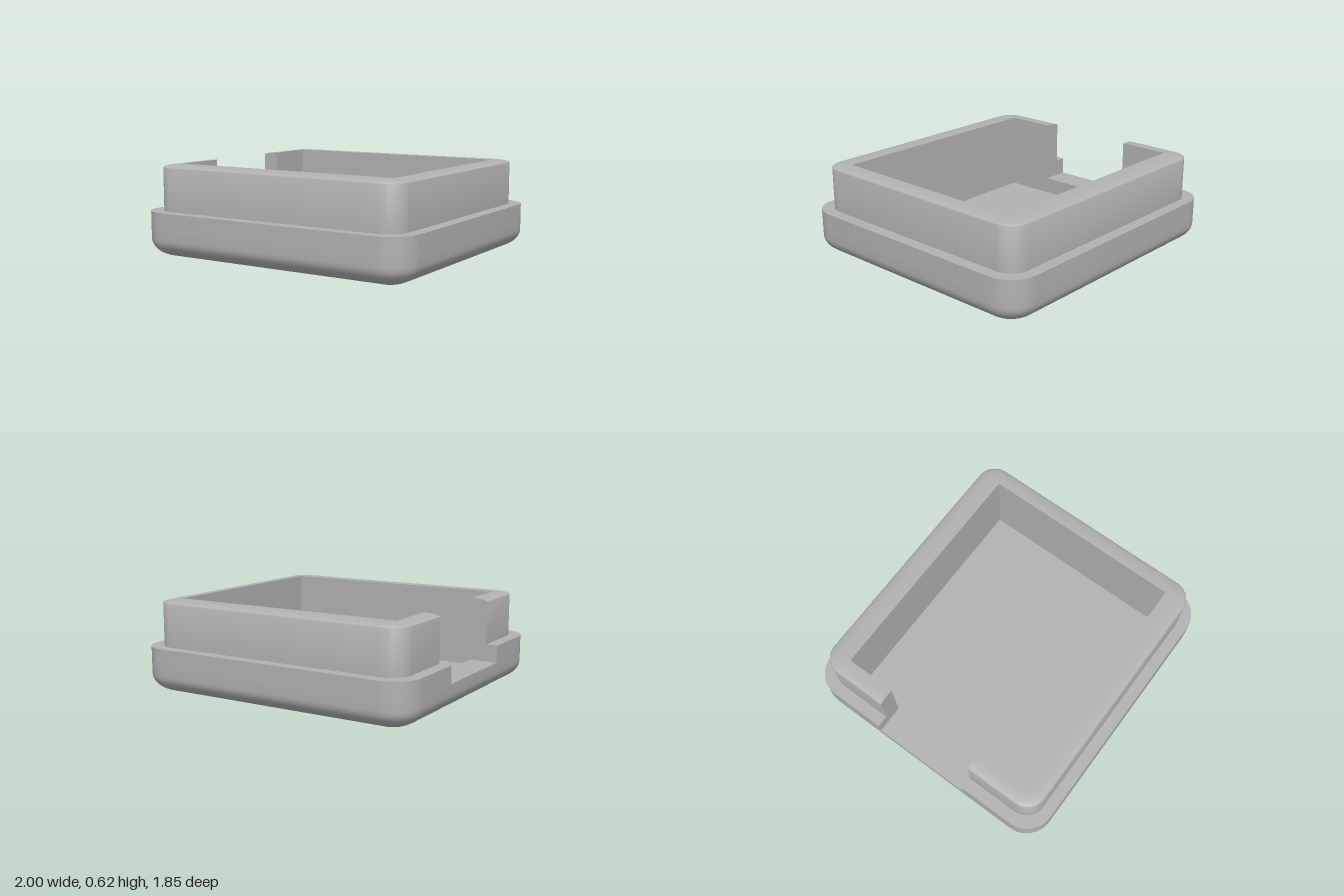
import * as THREE from 'three';
import { toCreasedNormals } from 'three/addons/utils/BufferGeometryUtils.js';

const NOTCH = 0.35;        // half width of the cable notch on the -x side
const NOTCH_Y = 0.192;     // notch floor height
const FLOOR_Y = 0.077;     // inside floor height
const OUTER = [1, 0.923, 0.19], STEP = [0.92, 0.846, 0.13], INNER = [0.808, 0.692, 0];

// Rounded rectangle at height y, running from one notch edge round to the other
function loop([hx, hz, r], y, inset = 0, seg = 10) {
  hx -= inset; hz -= inset; r = Math.max(r - inset, 0);
  const pts = [new THREE.Vector3(-hx, y, NOTCH)];
  [[-1, 1], [1, 1], [1, -1], [-1, -1]].forEach(([sx, sz], corner) => {
    for (let i = 0; i <= seg; i++) {
      const a = Math.PI - (corner + i / seg) * Math.PI / 2;
      pts.push(new THREE.Vector3(sx * (hx - r) + r * Math.cos(a), y, sz * (hz - r) + r * Math.sin(a)));
    }
  });
  pts.push(new THREE.Vector3(-hx, y, -NOTCH));
  return pts;
}

// Skin between successive loops, optionally closed across the notch and capped
function loft(loops, { closed = false, capStart = false, capEnd = false }) {
  const out = [];
  const tri = (a, b, c) => {
    const area = b.clone().sub(a).cross(c.clone().sub(a)).length();
    if (area > 1e-9) for (const p of [a, b, c]) out.push(p.x, p.y, p.z);
  };
  for (let j = 0; j + 1 < loops.length; j++) {
    const lo = loops[j], hi = loops[j + 1], n = lo.length;
    for (let k = 0; k < (closed ? n : n - 1); k++) {
      const m = (k + 1) % n;
      tri(lo[k], lo[m], hi[m]);
      tri(lo[k], hi[m], hi[k]);
    }
  }
  const first = loops[0], last = loops[loops.length - 1];
  for (let k = 1; k + 1 < first.length; k++) {
    if (capStart) tri(first[0], first[k + 1], first[k]);
    if (capEnd) tri(last[0], last[k], last[k + 1]);
  }
  const g = new THREE.BufferGeometry();
  g.setAttribute('position', new THREE.Float32BufferAttribute(out, 3));
  return toCreasedNormals(g, Math.PI / 6);
}

export function createModel() {
  const group = new THREE.Group();
  const grey = new THREE.MeshStandardMaterial({ color: 0xb2b2b2 });
  grey.name = 'grey plastic';
  const add = (name, geometry) => {
    const mesh = new THREE.Mesh(geometry, grey);
    mesh.name = name;
    group.add(mesh);
    return mesh;
  };

  // Base underside with an elliptical rounded edge
  const base = [];
  for (let i = 0; i <= 10; i++) {
    const a = i / 10 * Math.PI / 2;
    base.push(loop(OUTER, 0.125 * (1 - Math.cos(a)), 0.19 * (1 - Math.sin(a))));
  }
  base.push(loop(OUTER, NOTCH_Y));
  add('base', loft(base, { closed: true, capStart: true }));

  // Wall: base side, ledge, stepped-in wall, softened rim and inner face
  const wall = [loop(OUTER, NOTCH_Y), loop(OUTER, 0.308), loop(STEP, 0.308)];
  for (let i = 0; i <= 10; i++) {
    const a = i / 10 * Math.PI / 2;
    wall.push(loop(STEP, 0.595 + 0.02 * Math.sin(a), 0.11 * (1 - Math.cos(a))));
  }
  wall.push(loop(INNER, 0.615), loop(INNER, NOTCH_Y));
  add('wall', loft(wall, {}));

  // Flat wall ends on both sides of the notch
  for (const side of [1, -1]) {
    const section = wall.map(l => new THREE.Vector2(-side * l[0].x, l[0].y));
    const end = new THREE.ShapeGeometry(new THREE.Shape(section));
    if (side > 0) end.rotateY(Math.PI);
    add(side > 0 ? 'notchFrontEnd' : 'notchBackEnd', end).position.z = side * NOTCH;
  }

  // Sill of the notch
  const sill = new THREE.PlaneGeometry(OUTER[0] - INNER[0], 2 * NOTCH).rotateX(-Math.PI / 2);
  add('notchSill', sill).position.set(-(OUTER[0] + INNER[0]) / 2, NOTCH_Y, 0);

  // Sunken inside floor
  add('insideFloor', loft([loop(INNER, NOTCH_Y), loop(INNER, FLOOR_Y)], { closed: true, capEnd: true }));

  return group;
}
